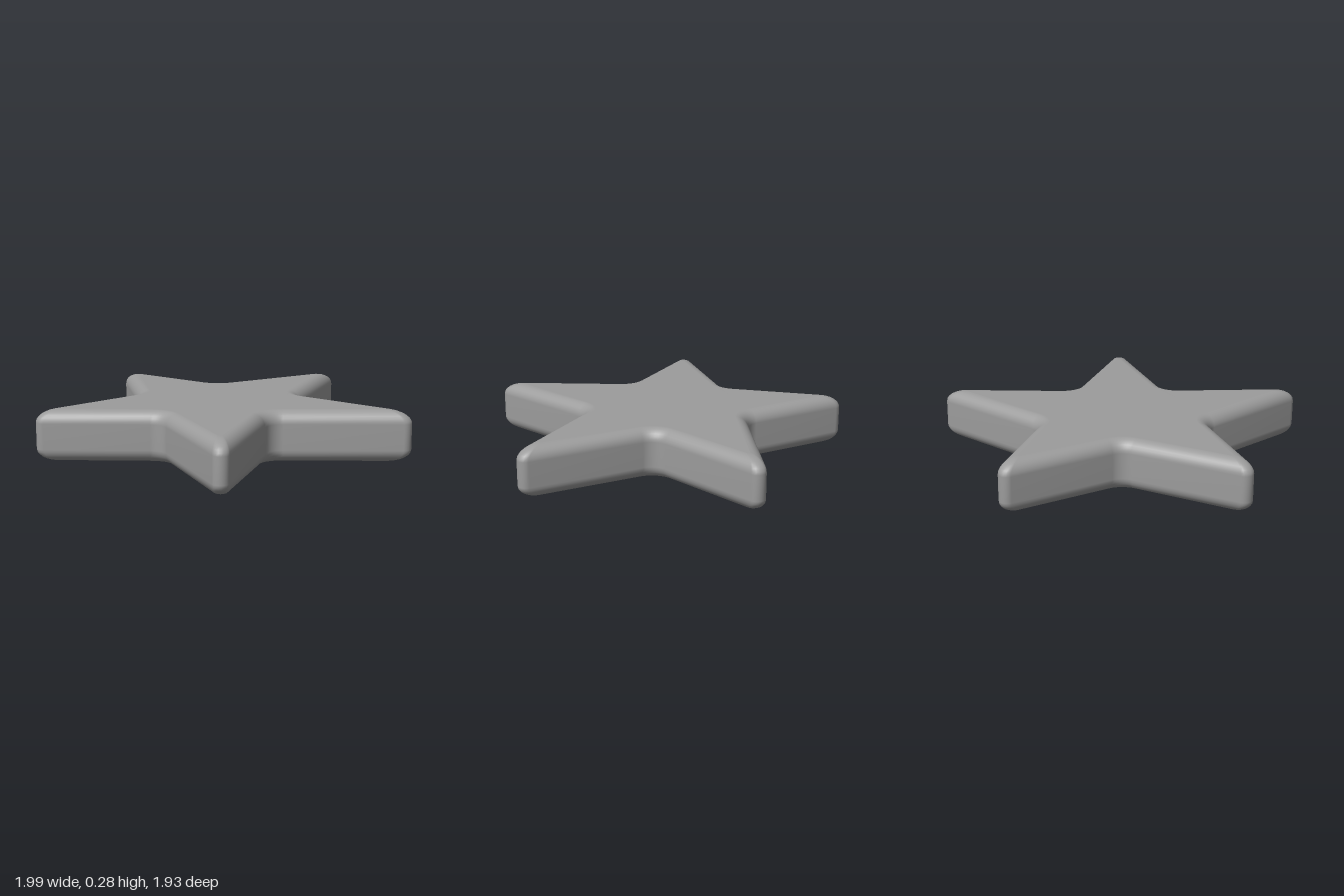
import * as THREE from 'three';

// Two points (x, z) on each straight side, clockwise seen from above
const SIDES = [
  [-0.291, -0.398, -0.051, -0.933], [0.045, -0.933, 0.206, -0.345],
  [0.27, -0.275, 0.949, -0.259], [0.981, -0.184, 0.468, 0.179],
  [0.42, 0.324, 0.618, 0.885], [0.553, 0.944, 0.003, 0.612],
  [-0.12, 0.618, -0.58, 0.933], [-0.644, 0.869, -0.527, 0.307],
  [-0.548, 0.2, -0.987, -0.195], [-0.933, -0.275, -0.388, -0.281],
];
const HEIGHT = 0.28, BEVEL = 0.07, ARC_STEPS = 8, BEVEL_STEPS = 7;

// Each side as an inward normal and its distance from the origin
const lines = SIDES.map(([x1, z1, x2, z2]) => {
  const n = new THREE.Vector2(z1 - z2, x2 - x1).normalize();
  return { n, c: n.x * x1 + n.y * z1, angle: Math.atan2(n.y, n.x) };
});

// Where two sides meet after both move inward by d
function meet(a, b, d) {
  const det = a.n.x * b.n.y - a.n.y * b.n.x;
  const ca = a.c + d, cb = b.c + d;
  return new THREE.Vector2((ca * b.n.y - cb * a.n.y) / det, (a.n.x * cb - b.n.x * ca) / det);
}

// Star outline inset by d, with rounded tips and rounded inner corners
function outline(d) {
  const points = [];
  lines.forEach((a, i) => {
    const b = lines[(i + 1) % lines.length];
    const r = i % 2 === 0 ? 0.046 - 0.5 * d : -(0.1 + d);
    const centre = meet(a, b, d + r);
    const turn = Math.atan2(Math.sin(b.angle - a.angle), Math.cos(b.angle - a.angle));
    for (let k = 0; k <= ARC_STEPS; k++) {
      const t = a.angle + (turn * k) / ARC_STEPS;
      points.push(new THREE.Vector2(centre.x - r * Math.cos(t), centre.y - r * Math.sin(t)));
    }
  });
  return points;
}

function starGeometry() {
  // Inset and height of each ring, from the bottom face to the top face
  const levels = [];
  for (let k = 0; k <= BEVEL_STEPS; k++) {
    const t = (k / BEVEL_STEPS) * Math.PI / 2;
    levels.push([BEVEL * (1 - Math.sin(t)), BEVEL * (1 - Math.cos(t))]);
  }
  levels.push(...levels.map(([d, y]) => [d, HEIGHT - y]).reverse());

  const rings = levels.map(([d]) => outline(d));
  const count = rings[0].length;
  const positions = [], index = [];
  rings.forEach((ring, i) => ring.forEach((p) => positions.push(p.x, levels[i][1], p.y)));

  // Walls and rounded edges
  for (let i = 0; i < rings.length - 1; i++) {
    for (let j = 0; j < count; j++) {
      const a = i * count + j, b = i * count + ((j + 1) % count);
      index.push(a, a + count, b, b, a + count, b + count);
    }
  }

  // Flat bottom and top faces
  const last = (rings.length - 1) * count;
  const face = rings[0];
  for (const [a, b, c] of THREE.ShapeUtils.triangulateShape(face.slice(), [])) {
    const up = (face[b].y - face[a].y) * (face[c].x - face[a].x)
      - (face[b].x - face[a].x) * (face[c].y - face[a].y) > 0;
    const [p, q] = up ? [b, c] : [c, b];
    index.push(last + a, last + p, last + q, a, q, p);
  }

  const geometry = new THREE.BufferGeometry();
  geometry.setAttribute('position', new THREE.Float32BufferAttribute(positions, 3));
  geometry.setIndex(index);
  geometry.computeVertexNormals();
  return geometry;
}

export function createModel() {
  const group = new THREE.Group();
  group.name = 'star';
  const grey = new THREE.MeshStandardMaterial({ color: 0x9c9c9c });
  grey.name = 'grey';
  const body = new THREE.Mesh(starGeometry(), grey);
  body.name = 'starBody';
  group.add(body);
  return group;
}
